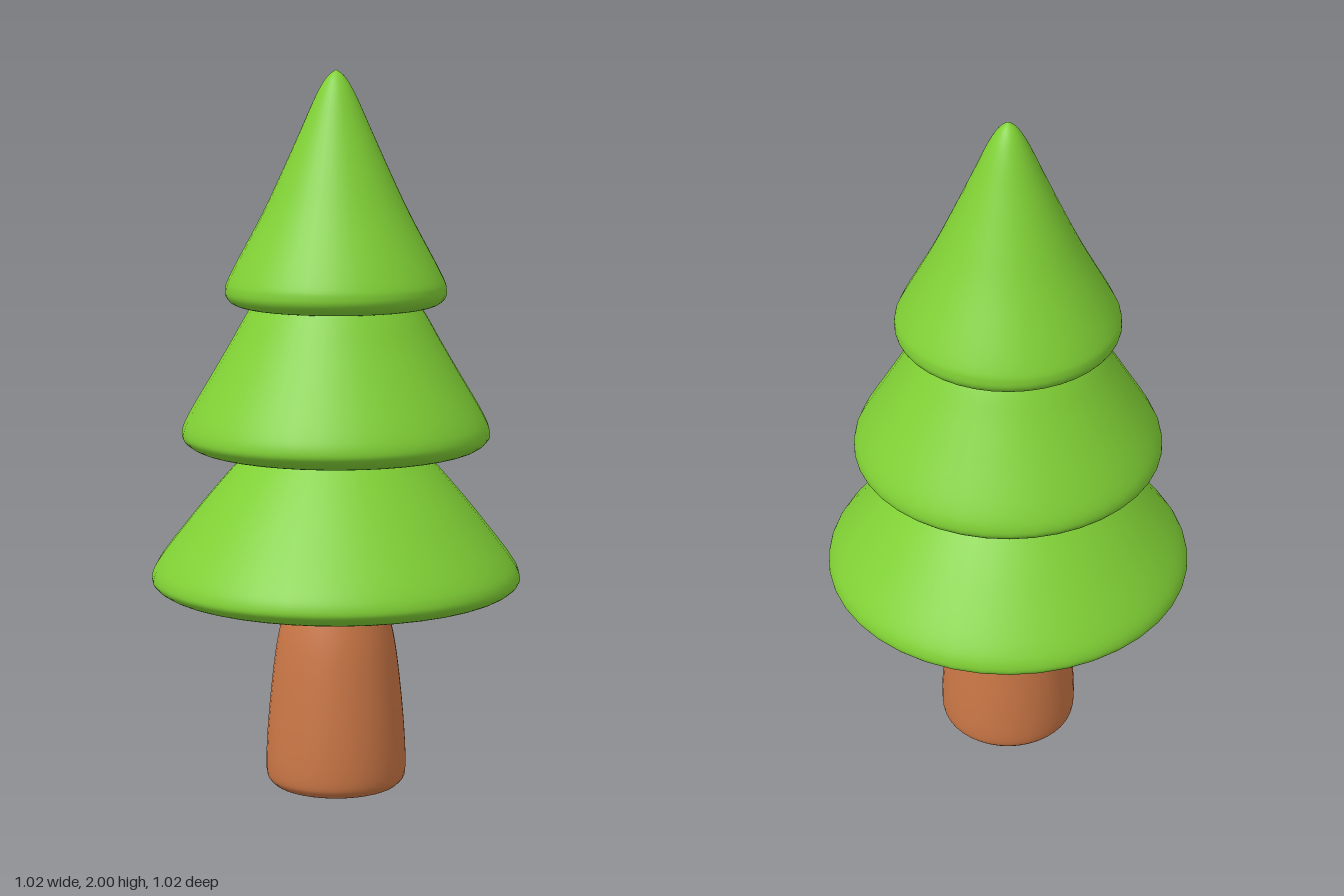
import * as THREE from 'three';

const green = new THREE.MeshStandardMaterial({ color: 0x80d035 });
const brown = new THREE.MeshStandardMaterial({ color: 0xcb7746 });

// Smooth solid of revolution; profile runs from bottom centre to top centre
function turned(name, profile, material) {
  const curve = new THREE.SplineCurve(profile.map(([r, y]) => new THREE.Vector2(r, y)));
  const points = curve.getPoints(profile.length * 5);
  points.forEach(p => { p.x = Math.max(p.x, 0); });
  const mesh = new THREE.Mesh(new THREE.LatheGeometry(points, 40), material);
  mesh.name = name;
  return mesh;
}

export function createModel() {
  const tree = new THREE.Group();
  tree.name = 'pineTree';

  // Tapered trunk with a rounded foot, running up into the lowest tier
  tree.add(turned('trunk', [
    [0, 0], [0.08, 0.002], [0.15, 0.008], [0.182, 0.022], [0.196, 0.06],
    [0.19, 0.2], [0.171, 0.38], [0.152, 0.48], [0.13, 0.55], [0.1, 0.6], [0, 0.62],
  ], brown));

  // Lowest skirt of foliage
  tree.add(turned('lowerFoliage', [
    [0, 0.545], [0.2, 0.546], [0.38, 0.553], [0.46, 0.566], [0.503, 0.588], [0.511, 0.615],
    [0.485, 0.665], [0.4, 0.775], [0.33, 0.86], [0.25, 0.95], [0.17, 1.03], [0, 1.06],
  ], green));

  // Middle skirt
  tree.add(turned('middleFoliage', [
    [0, 0.95], [0.17, 0.95], [0.31, 0.955], [0.38, 0.966], [0.417, 0.988], [0.425, 1.015],
    [0.405, 1.065], [0.34, 1.175], [0.29, 1.26], [0.235, 1.355], [0.17, 1.44], [0, 1.47],
  ], green));

  // Pointed crown
  tree.add(turned('topFoliage', [
    [0, 1.35], [0.12, 1.35], [0.22, 1.353], [0.27, 1.361], [0.297, 1.378], [0.304, 1.405],
    [0.288, 1.45], [0.205, 1.605], [0.15, 1.72], [0.1, 1.83], [0.055, 1.93], [0.025, 1.98], [0, 2],
  ], green));

  return tree;
}
